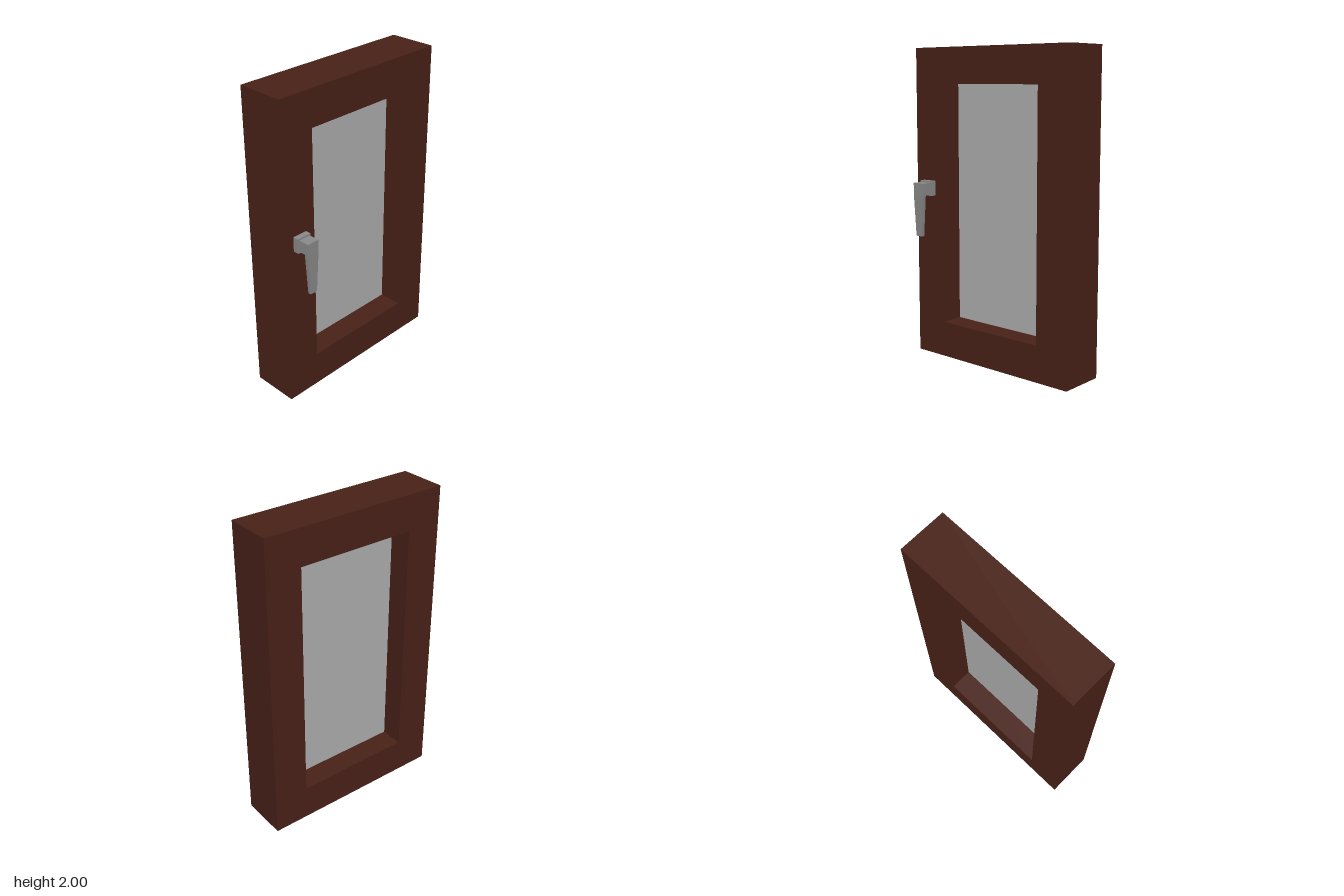
import * as THREE from 'three';

const wood = new THREE.MeshStandardMaterial({ color: 0x4a2218, flatShading: true });
const metal = new THREE.MeshStandardMaterial({ color: 0x8c8c8c, flatShading: true });
const paneMaterial = new THREE.MeshStandardMaterial({ color: 0xb0b0b0, flatShading: true });

// Box given by its minimum and maximum corners
function box(name, min, max, material) {
  const size = max.map((v, i) => v - min[i]);
  const mesh = new THREE.Mesh(new THREE.BoxGeometry(...size), material);
  mesh.position.set(...max.map((v, i) => (v + min[i]) / 2));
  mesh.name = name;
  return mesh;
}

export function createModel() {
  const group = new THREE.Group();
  group.name = 'window';
  const back = -0.207, front = 0.098;

  // Frame: one rectangle with a rectangular opening
  const outline = new THREE.Shape([
    new THREE.Vector2(-0.613, 0), new THREE.Vector2(0.613, 0),
    new THREE.Vector2(0.613, 2), new THREE.Vector2(-0.613, 2),
  ]);
  outline.holes.push(new THREE.Path([
    new THREE.Vector2(-0.385, 0.23), new THREE.Vector2(-0.385, 1.772),
    new THREE.Vector2(0.385, 1.772), new THREE.Vector2(0.385, 0.23),
  ]));
  const frame = new THREE.Mesh(
    new THREE.ExtrudeGeometry(outline, { depth: front - back, bevelEnabled: false }), wood);
  frame.position.z = back;
  frame.name = 'frame';
  group.add(frame);

  // Glass pane halfway through the frame
  group.add(box('glassPane', [-0.385, 0.23, -0.057], [0.385, 1.772, -0.052], paneMaterial));

  // Handle: mounting plate, neck and tapered lever
  const handle = new THREE.Group();
  handle.name = 'handle';
  handle.add(box('handlePlate', [-0.548, 1.06, front], [-0.45, 1.155, 0.136], metal));
  handle.add(box('handleNeck', [-0.538, 1.07, 0.136], [-0.457, 1.145, 0.207], metal));

  const lever = box('handleLever', [-0.538, 0.802, 0.179], [-0.457, 1.07, 0.207], metal);
  const p = lever.geometry.attributes.position;
  for (let i = 0; i < p.count; i++) {
    if (p.getY(i) < 0) {
      p.setX(i, p.getX(i) * 0.62);
      p.setZ(i, p.getZ(i) * 0.72);
    }
  }
  lever.geometry.computeVertexNormals();
  handle.add(lever);
  group.add(handle);

  return group;
}
